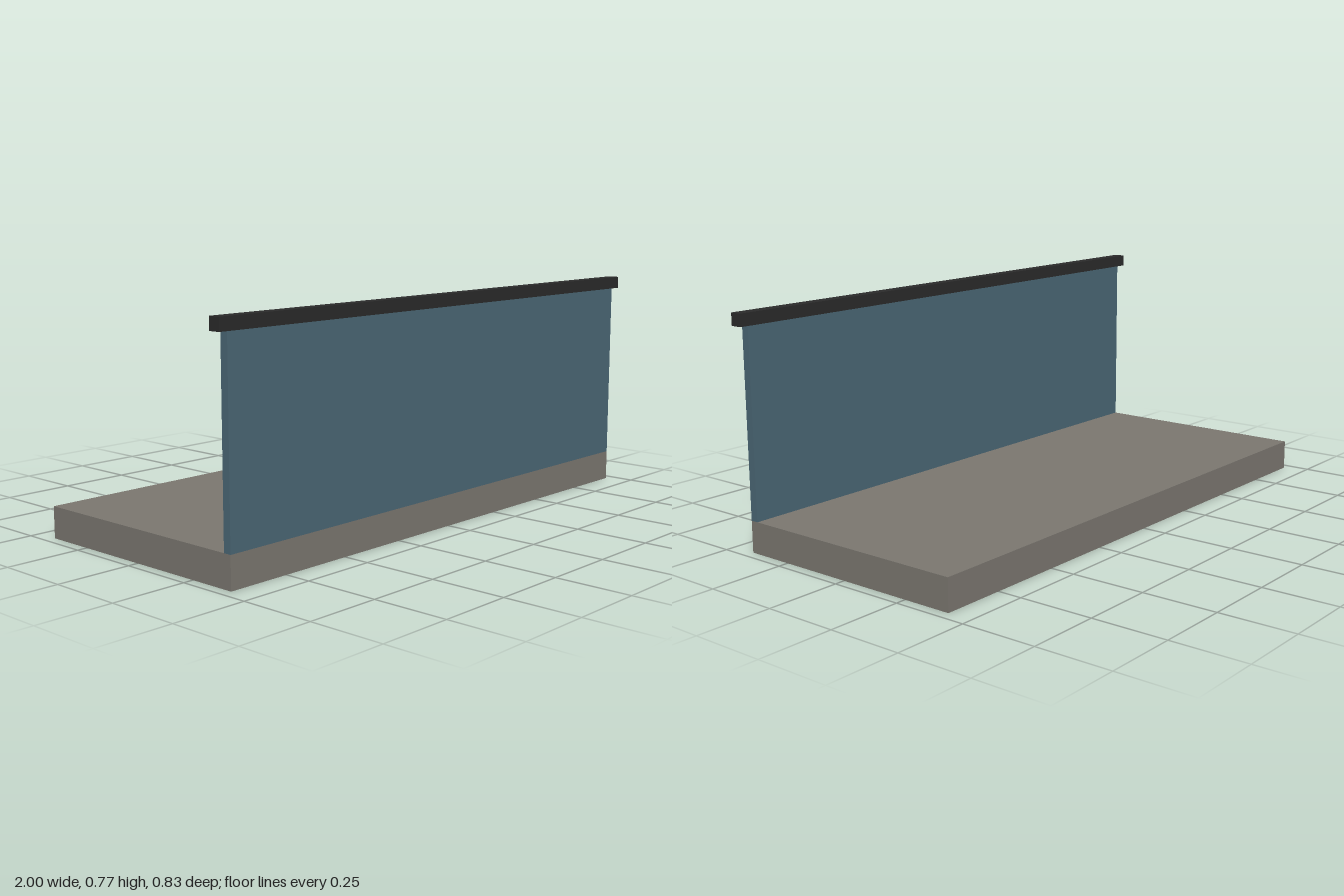
import * as THREE from 'three';

const material = (name, color) => {
  const m = new THREE.MeshStandardMaterial({ color });
  m.name = name;
  return m;
};

// Box given by its lower and upper corners
function block(name, mat, [x0, y0, z0], [x1, y1, z1]) {
  const mesh = new THREE.Mesh(new THREE.BoxGeometry(x1 - x0, y1 - y0, z1 - z0), mat);
  mesh.position.set((x0 + x1) / 2, (y0 + y1) / 2, (z0 + z1) / 2);
  mesh.name = name;
  return mesh;
}

export function createModel() {
  const concrete = material('concrete grey', 0x7a766f);
  const glass = material('blue glass', 0x4a6674);
  const metal = material('dark metal', 0x2a2a2a);

  const balcony = new THREE.Group();
  balcony.name = 'balcony';
  balcony.add(
    // floor slab
    block('floorSlab', concrete, [-0.966, 0, -0.417], [0.966, 0.105, 0.411]),
    // upright panel, flush with the front edge of the slab
    block('glassPanel', glass, [-0.966, 0.105, 0.384], [0.966, 0.726, 0.411]),
    // handrail overhanging the panel on every side
    block('handrail', metal, [-1, 0.726, 0.377], [1, 0.767, 0.417]),
  );
  return balcony;
}
